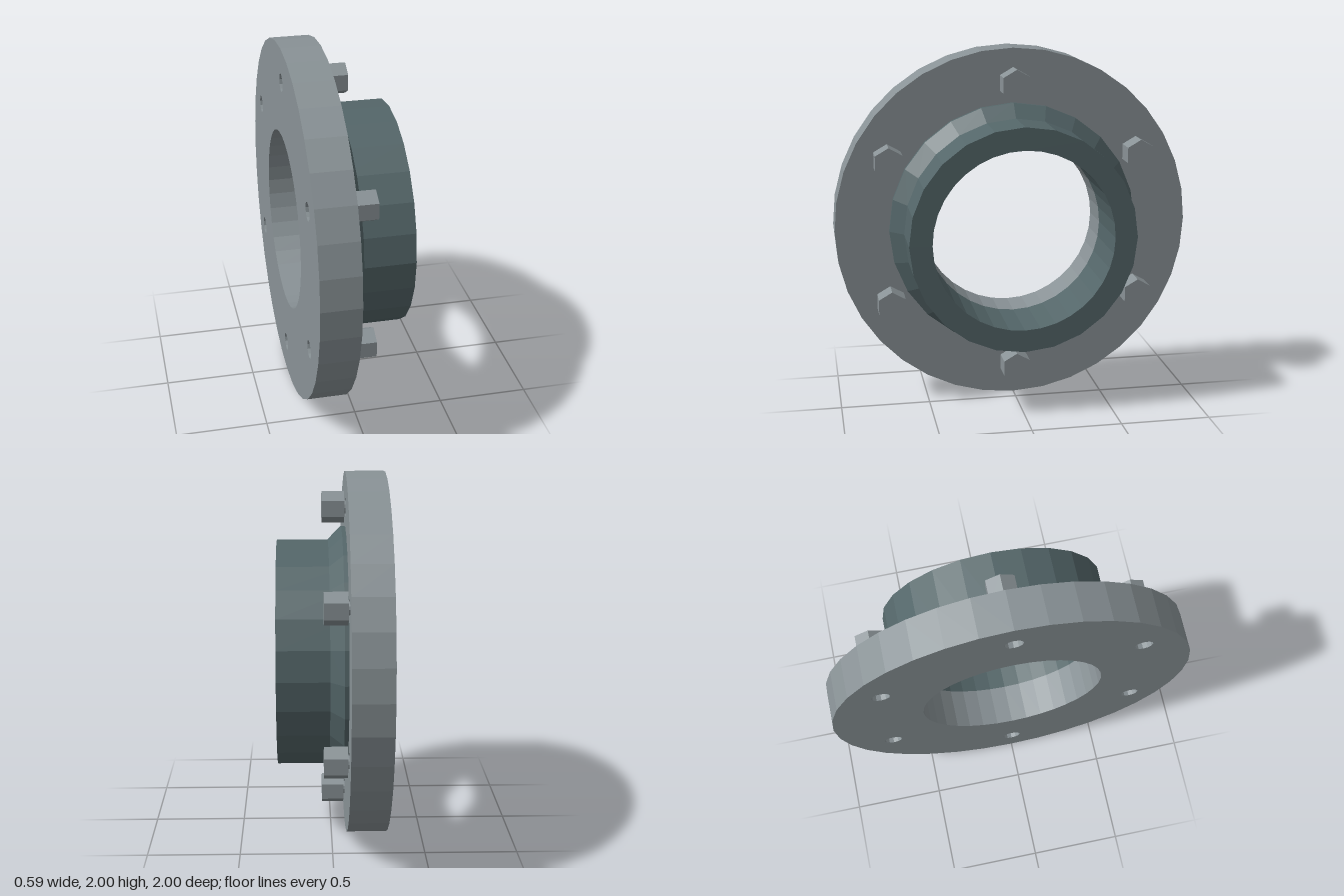
import * as THREE from 'three';

const steel = new THREE.MeshStandardMaterial({ color: 0x899296 });
steel.name = 'light steel';
const darkSteel = new THREE.MeshStandardMaterial({ color: 0x546669 });
darkSteel.name = 'dark steel';

const BOLT_RADIUS = 0.81;
const boltAngles = Array.from({ length: 6 }, (_, i) => Math.PI / 2 + i * Math.PI / 3);

// Regular polygon outline
function ring(radius, sides, cx = 0, cy = 0) {
  return Array.from({ length: sides }, (_, i) => {
    const a = (i / sides) * Math.PI * 2;
    return new THREE.Vector2(cx + radius * Math.cos(a), cy + radius * Math.sin(a));
  });
}

// Plate with holes, extruded along x from x0 to x1
function plate(outline, holes, x0, x1) {
  const shape = new THREE.Shape(outline);
  holes.forEach((h) => shape.holes.push(new THREE.Path(h)));
  const geo = new THREE.ExtrudeGeometry(shape, { depth: x1 - x0, bevelEnabled: false });
  return geo.rotateY(Math.PI / 2).translate(x0, 0, 0);
}

// Faceted cylinder or cone along x, radius r0 at x0 and r1 at x1
function facetedTube(r0, r1, x0, x1, sides, open, start = 0) {
  const geo = new THREE.CylinderGeometry(r1, r0, x1 - x0, sides, 1, open, start)
    .rotateZ(-Math.PI / 2).translate((x0 + x1) / 2, 0, 0).toNonIndexed();
  geo.computeVertexNormals();
  return geo;
}

function add(parent, name, geometry, material) {
  const mesh = new THREE.Mesh(geometry, material);
  mesh.name = name;
  parent.add(mesh);
  return mesh;
}

export function createModel() {
  const model = new THREE.Group();
  model.name = 'pipeFlange';
  const body = new THREE.Group();
  body.name = 'flangeAssembly';
  body.position.y = 1;
  model.add(body);

  // Flange disc with bore and bolt holes
  const boltHoles = boltAngles.map((a) =>
    ring(0.05, 12, BOLT_RADIUS * Math.cos(a), BOLT_RADIUS * Math.sin(a)));
  add(body, 'flangeDisc', plate(ring(1, 36), [ring(0.5, 36), ...boltHoles], -0.295, -0.08), steel);

  // Pipe neck with a chamfered collar at its base
  add(body, 'neck', plate(ring(0.625, 24), [ring(0.5, 36)], -0.08, 0.295), darkSteel);
  add(body, 'collarRim', facetedTube(0.7, 0.7, -0.08, -0.058, 24, true), darkSteel);
  add(body, 'collarChamfer', facetedTube(0.7, 0.625, -0.058, 0.015, 24, true), darkSteel);

  // Hex bolts standing just clear of the disc
  const head = facetedTube(0.086, 0.086, -0.072, 0.05, 6, false, Math.PI / 6);
  const shank = facetedTube(0.035, 0.035, -0.2, -0.072, 12, false);
  boltAngles.forEach((a) => {
    const bolt = new THREE.Group();
    bolt.name = 'bolt';
    bolt.position.set(0, BOLT_RADIUS * Math.sin(a), BOLT_RADIUS * Math.cos(a));
    add(bolt, 'boltHead', head, steel);
    add(bolt, 'boltShank', shank, steel);
    body.add(bolt);
  });

  return model;
}
